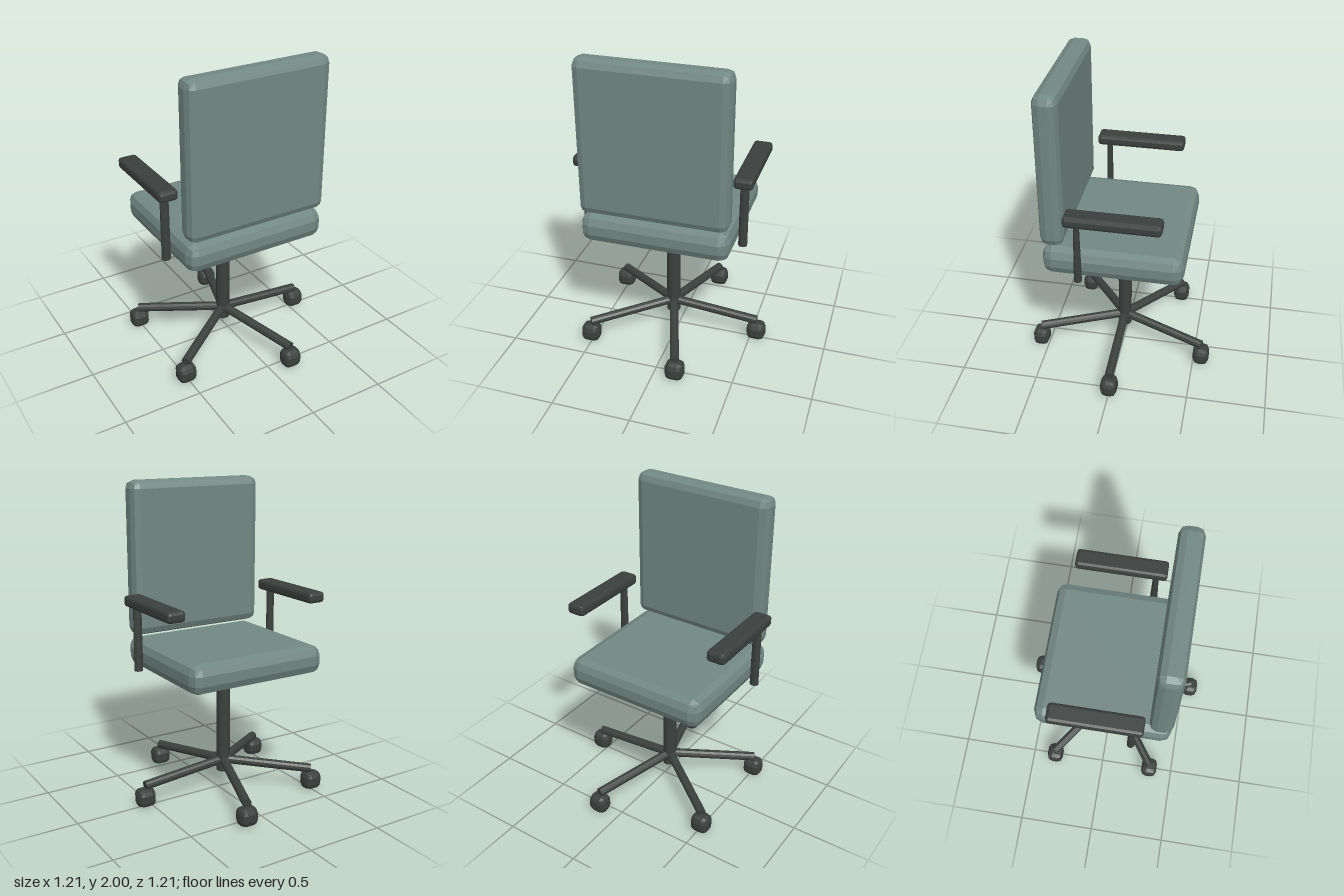
import * as THREE from 'three';

const CENTER_X = -0.04;

const cushionMat = new THREE.MeshStandardMaterial({ color: 0x728783, flatShading: true });
const frameMat = new THREE.MeshStandardMaterial({ color: 0x3b403e, flatShading: true });

// Box with coarse two-facet rounded edges: each corner of the grid is pushed onto a sphere
function softBox(w, h, d, r) {
  const geo = new THREE.BoxGeometry(3, 3, 3, 3, 3, 3);
  const pos = geo.attributes.position;
  const half = new THREE.Vector3(w, h, d).multiplyScalar(0.5).subScalar(r);
  const p = new THREE.Vector3();
  const dir = new THREE.Vector3();
  for (let i = 0; i < pos.count; i++) {
    p.fromBufferAttribute(pos, i);
    // outer grid lines lean outwards, inner ones stay on the flat face
    dir.set(...p.toArray().map((v) => (Math.abs(v) > 1 ? Math.sign(v) : 0))).normalize();
    p.set(Math.sign(p.x), Math.sign(p.y), Math.sign(p.z)).multiply(half).addScaledVector(dir, r);
    pos.setXYZ(i, p.x, p.y, p.z);
  }
  geo.computeVertexNormals();
  return geo;
}

function add(parent, name, geo, mat, x, y, z) {
  const mesh = new THREE.Mesh(geo, mat);
  mesh.name = name;
  mesh.position.set(x, y, z);
  parent.add(mesh);
  return mesh;
}

// Round bar between two points
function addBar(parent, name, a, b, radius) {
  const dir = b.clone().sub(a);
  const mid = a.clone().add(b).multiplyScalar(0.5);
  const bar = add(parent, name, new THREE.CylinderGeometry(radius, radius, dir.length(), 12), frameMat, mid.x, mid.y, mid.z);
  bar.quaternion.setFromUnitVectors(new THREE.Vector3(0, 1, 0), dir.normalize());
  return bar;
}

export function createModel() {
  const chair = new THREE.Group();
  chair.name = 'officeChair';
  chair.position.x = CENTER_X;
  const model = new THREE.Group();
  model.add(chair);

  // Cushions
  add(chair, 'seat', softBox(0.94, 0.185, 0.87, 0.062), cushionMat, 0, 0.9075, 0.002);
  add(chair, 'backrest', softBox(0.93, 0.98, 0.15, 0.05), cushionMat, 0, 1.51, 0.37);

  // Central column
  add(chair, 'column', new THREE.CylinderGeometry(0.045, 0.045, 0.72, 16), frameMat, 0, 0.475, 0);

  // Five sloping legs, each on a caster
  for (let i = 0; i < 5; i++) {
    const a = (i * Math.PI * 2) / 5;
    const c = Math.cos(a);
    const s = Math.sin(a);
    addBar(chair, 'leg', new THREE.Vector3(0, 0.19, 0), new THREE.Vector3(c * 0.58, 0.138, s * 0.58), 0.029);
    add(chair, 'caster', softBox(0.122, 0.118, 0.106, 0.036), frameMat, c * 0.58, 0.06, s * 0.58);
  }

  // Armrests on posts that narrow front to back towards the top
  for (const side of [-1, 1]) {
    const arm = new THREE.Group();
    arm.name = side > 0 ? 'leftArm' : 'rightArm';
    chair.add(arm);
    add(arm, 'armPad', softBox(0.12, 0.07, 0.58, 0.02), frameMat, side * 0.505, 1.275, -0.02);
    const post = new THREE.CylinderGeometry(0.028, 0.028, 0.43, 10);
    const pos = post.attributes.position;
    for (let i = 0; i < pos.count; i++) pos.setZ(i, pos.getZ(i) * (pos.getY(i) > 0 ? 0.6 : 0.9));
    post.computeVertexNormals();
    add(arm, 'armPost', post, frameMat, side * 0.505, 1.045, 0.198);
  }
  return model;
}
